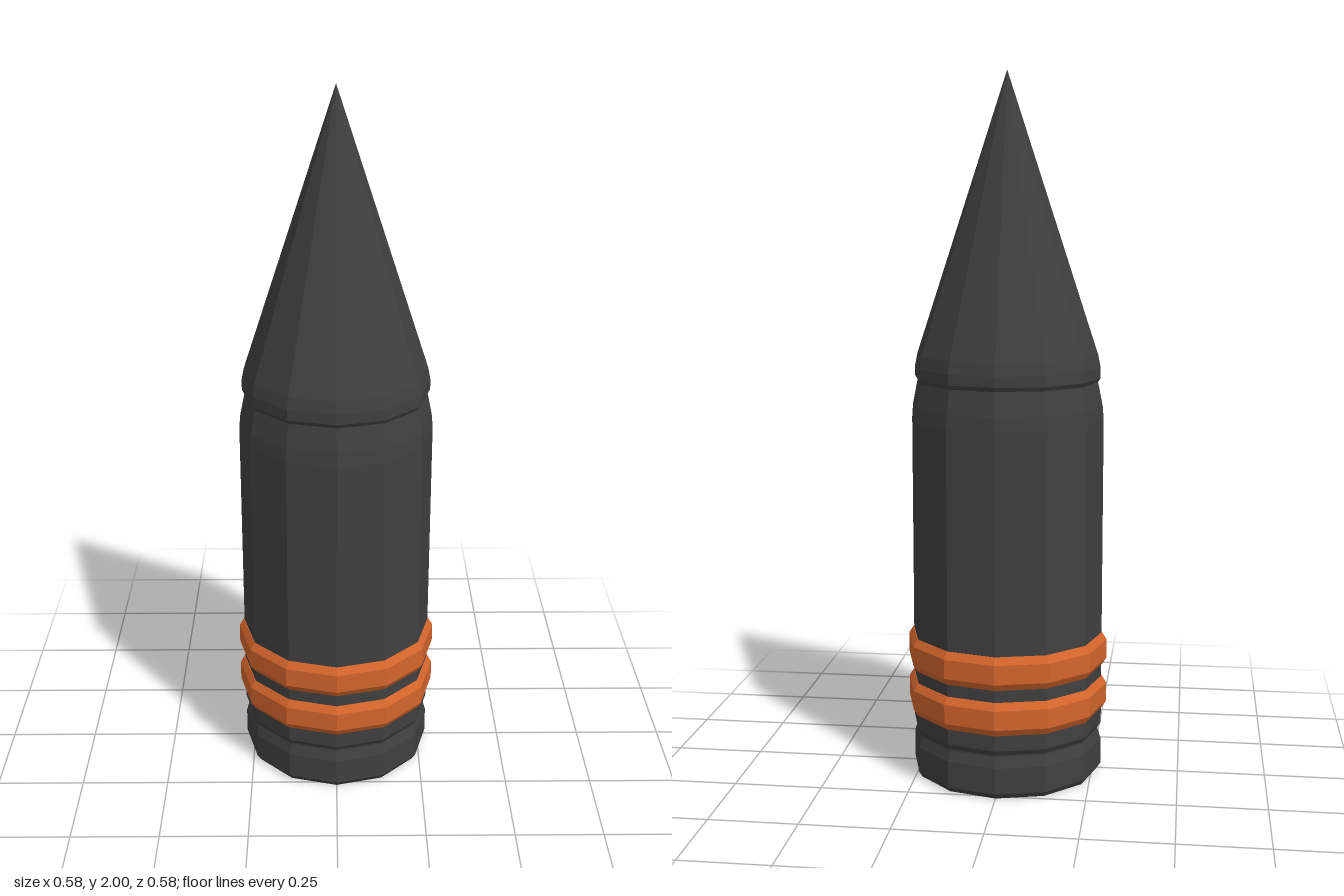
import * as THREE from 'three';

const SIDES = 12;

// Faceted solid of revolution from [radius, height] pairs, listed bottom to top
function turned(name, profile, material) {
  const points = profile.map(([r, y]) => new THREE.Vector2(r, y));
  const geometry = new THREE.LatheGeometry(points, SIDES).toNonIndexed();
  geometry.computeVertexNormals();
  const mesh = new THREE.Mesh(geometry, material);
  mesh.name = name;
  return mesh;
}

export function createModel() {
  const group = new THREE.Group();
  group.name = 'shell';

  const steel = new THREE.MeshStandardMaterial({ color: 0x404040 });
  steel.name = 'dark steel';
  const copper = new THREE.MeshStandardMaterial({ color: 0xd4652c });
  copper.name = 'copper orange';

  // Body with bevelled base, shallow groove and tapered shoulder
  group.add(turned('body', [
    [0, 0], [0.265, 0], [0.275, 0.015], [0.275, 0.09], [0.266, 0.12],
    [0.266, 0.125], [0.275, 0.14], [0.275, 1.03], [0.272, 1.07],
    [0.258, 1.14], [0, 1.14],
  ], steel));

  // Pointed nose with a short collar
  group.add(turned('nose', [
    [0, 1.135], [0.256, 1.135], [0.265, 1.15], [0.265, 1.18],
    [0.258, 1.215], [0, 2],
  ], steel));

  // Two bevelled driving bands
  for (const [name, y] of [['lowerBand', 0.185], ['upperBand', 0.315]]) {
    group.add(turned(name, [
      [0.27, y], [0.277, y], [0.29, y + 0.02], [0.29, y + 0.075],
      [0.277, y + 0.095], [0.27, y + 0.095],
    ], copper));
  }

  return group;
}
